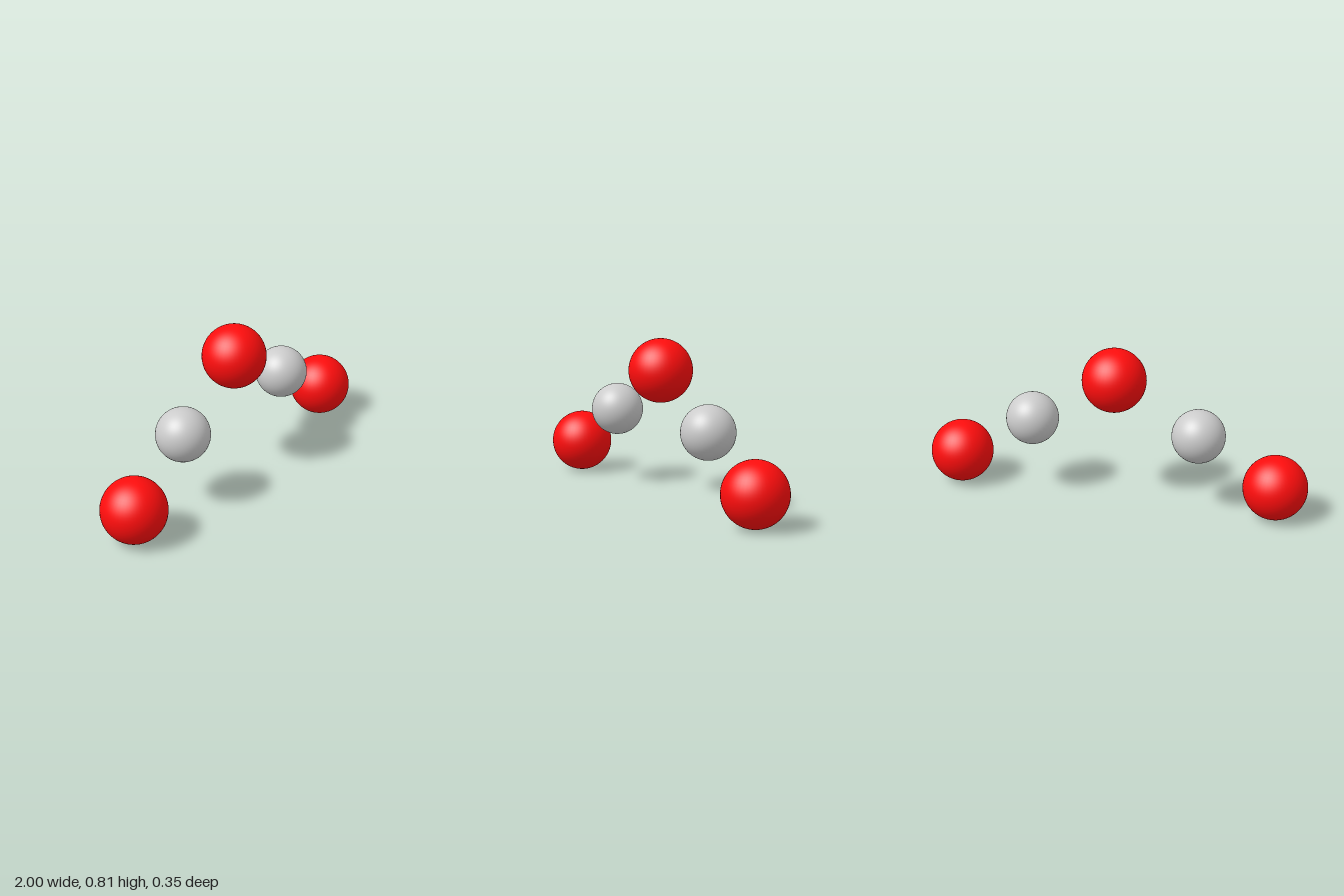
import * as THREE from 'three';

export function createModel() {
  const model = new THREE.Group();
  model.name = 'moleculeChain';

  const red = new THREE.MeshStandardMaterial({ color: 0xff0d0d });
  const grey = new THREE.MeshStandardMaterial({ color: 0xcccccc });
  const largeBall = new THREE.SphereGeometry(0.163, 48, 32);
  const smallBall = new THREE.SphereGeometry(0.136, 48, 32);

  const addBall = (name, geometry, material, x, y, z) => {
    const ball = new THREE.Mesh(geometry, material);
    ball.name = name;
    ball.position.set(x, y, z);
    model.add(ball);
  };

  // Bent chain of alternating balls, turned very slightly about y
  addBall('rightEndBall', largeBall, red, -0.837, 0.164, 0.011);
  addBall('rightMiddleBall', smallBall, grey, -0.44, 0.395, 0.004);
  addBall('topBall', largeBall, red, -0.001, 0.648, -0.003);
  addBall('leftMiddleBall', smallBall, grey, 0.438, 0.395, -0.008);
  addBall('leftEndBall', largeBall, red, 0.836, 0.165, -0.011);

  return model;
}
